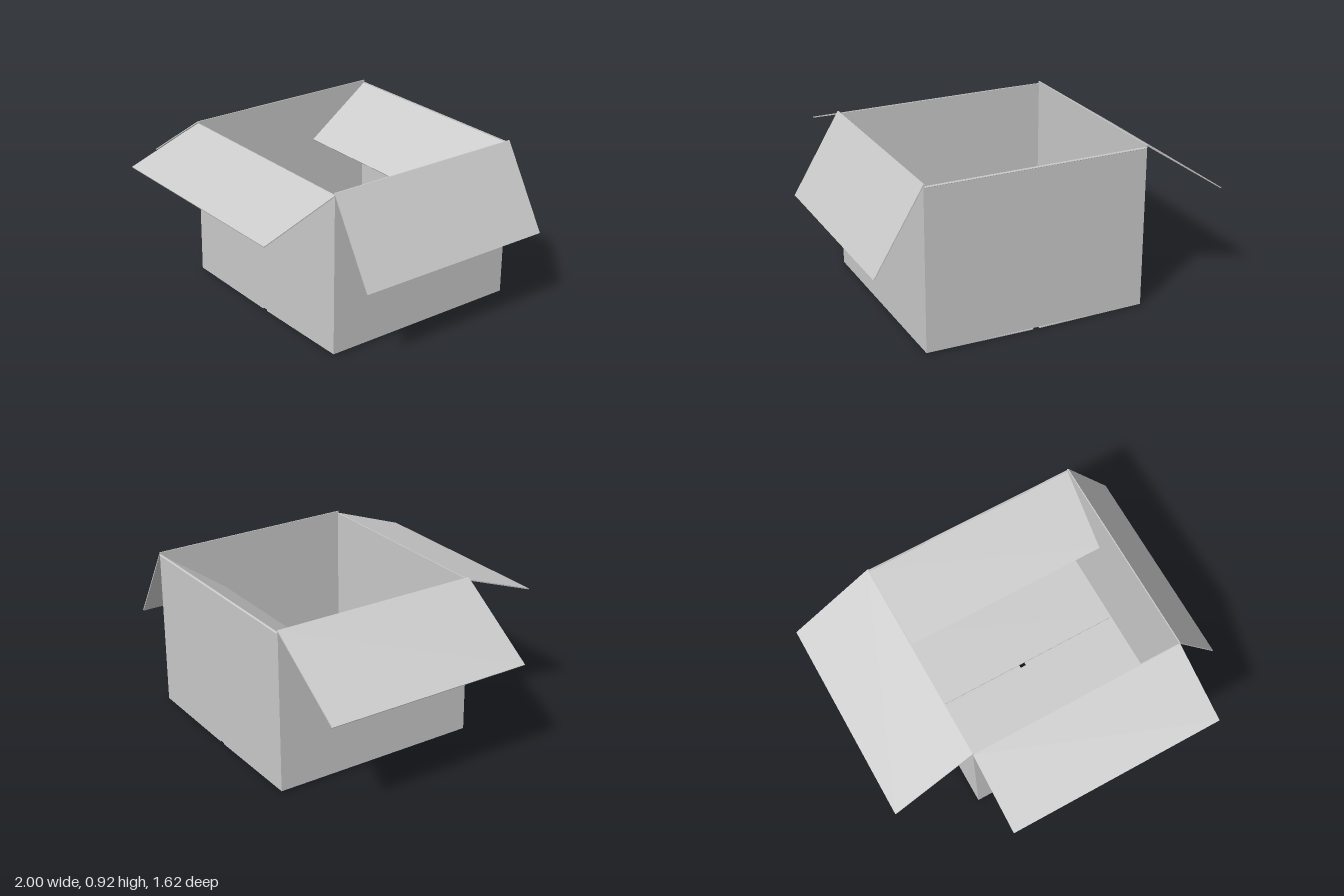
import * as THREE from 'three';

const card = new THREE.MeshStandardMaterial({ color: 0xcccccc, flatShading: true });
const T = 0.006; // cardboard thickness
const X0 = -0.52, X1 = 0.73, Z0 = -0.81, Z1 = 0.38; // footprint of the box
const CX = (X0 + X1) / 2, CZ = (Z0 + Z1) / 2, W = X1 - X0, D = Z1 - Z0;

// Directions in which a flap can run away from its hinge
const YAW = { left: 0, right: Math.PI, front: -Math.PI / 2 , back: Math.PI / 2 };

export function createModel() {
  const box = new THREE.Group();
  box.name = 'openBox';

  function wall(name, w, h, d, x, y, z) {
    const mesh = new THREE.Mesh(new THREE.BoxGeometry(w, h, d), card);
    mesh.name = name;
    mesh.position.set(x, y + h / 2, z);
    box.add(mesh);
  }

  // A sheet hinged at a point, running out and up from it, with its free edge trimmed on both sides
  function flap(name, hinge, yaw, run, rise, width, trim = 0) {
    const length = Math.hypot(run, rise);
    const geometry = new THREE.BoxGeometry(length, T, width).translate(length / 2, -T / 2, 0);
    const p = geometry.attributes.position;
    for (let i = 0; i < p.count; i++) {
      if (p.getX(i) > length / 2) p.setZ(i, p.getZ(i) - Math.sign(p.getZ(i)) * trim);
    }
    geometry.computeVertexNormals();
    const mesh = new THREE.Mesh(geometry, card);
    mesh.name = name;
    mesh.position.set(...hinge);
    mesh.rotation.set(0, yaw, Math.atan2(rise, run), 'YXZ');
    box.add(mesh);
  }

  // Side walls stand slightly taller than the front and back walls
  wall('leftWall', T, 0.907, D, X1 - T / 2, 0.013, CZ);
  wall('rightWall', T, 0.907, D, X0 + T / 2, 0.013, CZ);
  wall('frontWall', W - 2 * T, 0.897, T, CX, 0.011, Z1 - T / 2);
  wall('backWall', W - 2 * T, 0.897, T, CX, 0.011, Z0 + T / 2);

  // Top flaps: three folded outward, the back one dropped into the box
  flap('leftTopFlap', [X1, 0.92, CZ], YAW.left, 0.27, -0.45, D);
  flap('rightTopFlap', [X0, 0.92, CZ], YAW.right, 0.48, -0.32, D);
  flap('frontTopFlap', [CX, 0.908, Z1], YAW.front, 0.43, -0.155, W);
  flap('backTopFlap', [CX, 0.908, Z0], YAW.front, 0.39, -0.28, W - 2 * T, 0.004);

  // Outer bottom flaps, sagging to a narrow gap in the middle
  flap('leftBottomFlap', [X1, 0.014, CZ], YAW.right, 0.605, -0.008, D, 0.003);
  flap('rightBottomFlap', [X0, 0.014, CZ], YAW.left, 0.61, -0.008, D, 0.003);

  // Inner bottom flaps, lying across the outer pair
  flap('frontBottomFlap', [CX, 0.02, Z1 - T], YAW.back, 0.579, 0, W - 2 * T, 0.012);
  flap('backBottomFlap', [CX, 0.02, Z0 + T], YAW.front, 0.579, 0, W - 2 * T, 0.012);

  return box;
}
